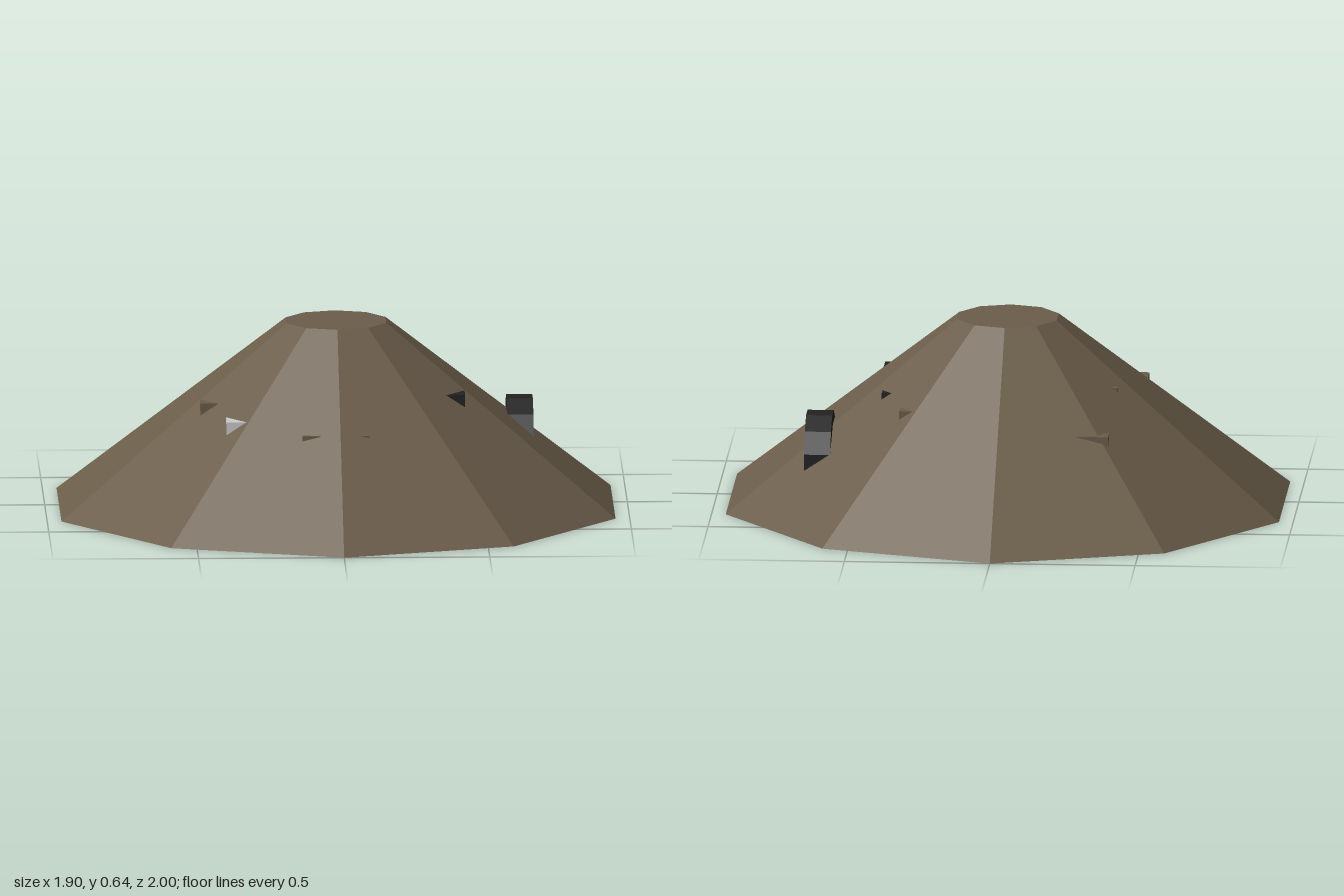
import * as THREE from 'three';

function material(name, color) {
  const m = new THREE.MeshStandardMaterial({ color, flatShading: true });
  m.name = name;
  return m;
}

export function createModel() {
  const group = new THREE.Group();
  group.name = 'scrapMound';
  const earth = material('earthBrown', 0x6b5d4a);
  const black = material('rubberBlack', 0x222222);
  const white = material('paleGrey', 0xcccccc);

  const add = (name, geometry, mat, x, y, z) => {
    const mesh = new THREE.Mesh(geometry, mat);
    mesh.name = name;
    mesh.position.set(x, y, z);
    group.add(mesh);
    return mesh;
  };

  // Ten-sided mound with a flat summit
  add('mound', new THREE.CylinderGeometry(0.18, 1, 0.64, 10), earth, 0, 0.32, 0);

  // Half-buried wheel, its axis along x
  const wheel = new THREE.CylinderGeometry(0.16, 0.16, 0.09, 12);
  wheel.rotateY(Math.PI / 12).rotateZ(Math.PI / 2);
  add('buriedWheel', wheel, black, 0.635, 0.18, -0.187);

  // Buried blocks: only the outer top corner [x, y, z] breaks the surface
  const size = 0.12;
  const block = new THREE.BoxGeometry(size, size, size);
  const corners = [
    [-0.375, 0.332, -0.49, earth],
    [0.35, 0.39, -0.39, earth],
    [-0.39, 0.44, -0.205, earth],
    [0.42, 0.415, -0.225, black],
    [0.437, 0.42, 0.235, black],
    [-0.472, 0.395, 0.235, earth],
    [-0.387, 0.365, 0.422, white],
    [-0.13, 0.338, 0.547, earth],
    [0.1, 0.338, 0.545, earth],
  ];
  corners.forEach(([x, y, z, mat], i) => {
    const h = size / 2;
    add(`debris${i + 1}`, block, mat, x - Math.sign(x) * h, y - h, z - Math.sign(z) * h);
  });

  return group;
}
